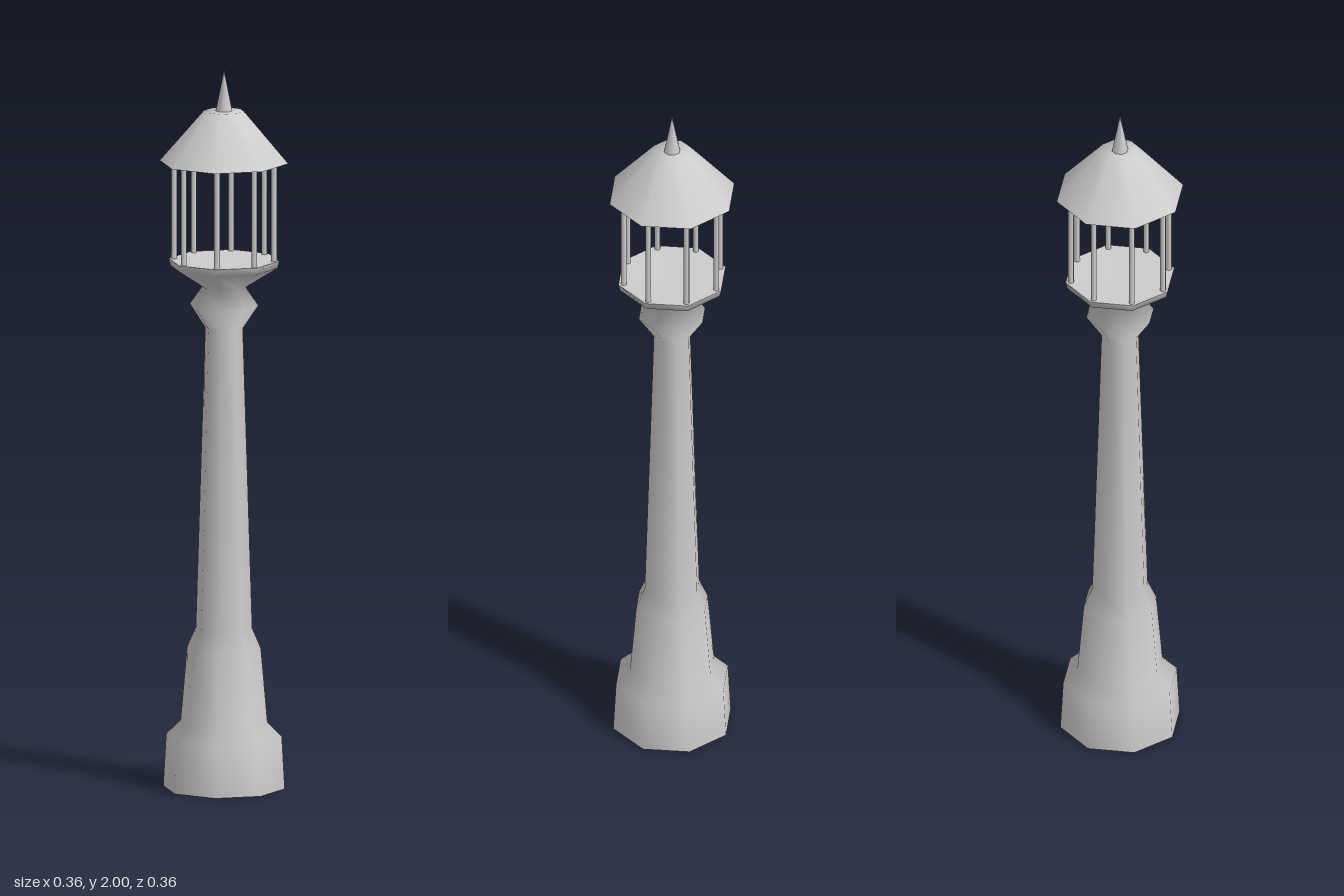
import * as THREE from 'three';

export function createModel() {
  const model = new THREE.Group();
  const stone = new THREE.MeshStandardMaterial({ color: 0xcccccc });
  stone.name = 'light grey stone';
  const SIDES = 8;

  // Eight-sided turned part from [radius, height] pairs, listed bottom to top on the outside
  function turned(name, profile) {
    const points = profile.map(([r, y]) => new THREE.Vector2(r, y));
    const mesh = new THREE.Mesh(new THREE.LatheGeometry(points, SIDES), stone);
    mesh.name = name;
    model.add(mesh);
    return mesh;
  }

  // Stepped base, tapering column, collar and flared gallery
  turned('column', [
    [0.168, 0], [0.16, 0.145], [0.12, 0.185], [0.102, 0.39], [0.078, 0.445],
    [0.052, 1.28], [0.095, 1.345], [0.06, 1.395], [0.148, 1.45], [0.153, 1.47],
  ]);
  turned('baseUnderside', [[0, 0], [0.168, 0]]);
  turned('galleryFloor', [[0.153, 1.47], [0, 1.465]]);

  // Ring of slim posts around the lantern
  const posts = new THREE.Group();
  posts.name = 'lanternPosts';
  const postGeometry = new THREE.CylinderGeometry(0.008, 0.008, 0.29, 8);
  for (let i = 0; i < SIDES; i++) {
    const a = (i / SIDES) * Math.PI * 2;
    const post = new THREE.Mesh(postGeometry, stone);
    post.name = 'lanternPost';
    post.position.set(Math.sin(a) * 0.138, 1.607, Math.cos(a) * 0.138);
    posts.add(post);
  }
  model.add(posts);

  // Hollow roof: outer slope, flat eave and inner slope
  turned('roof', [[0.178, 1.742], [0.055, 1.885], [0, 1.885]]);
  turned('roofEave', [[0.143, 1.742], [0.178, 1.742]]);
  turned('roofInside', [[0, 1.86], [0.04, 1.855], [0.143, 1.742]]);

  // Pointed finial
  turned('finial', [[0.023, 1.883], [0, 2]]);

  return model;
}
